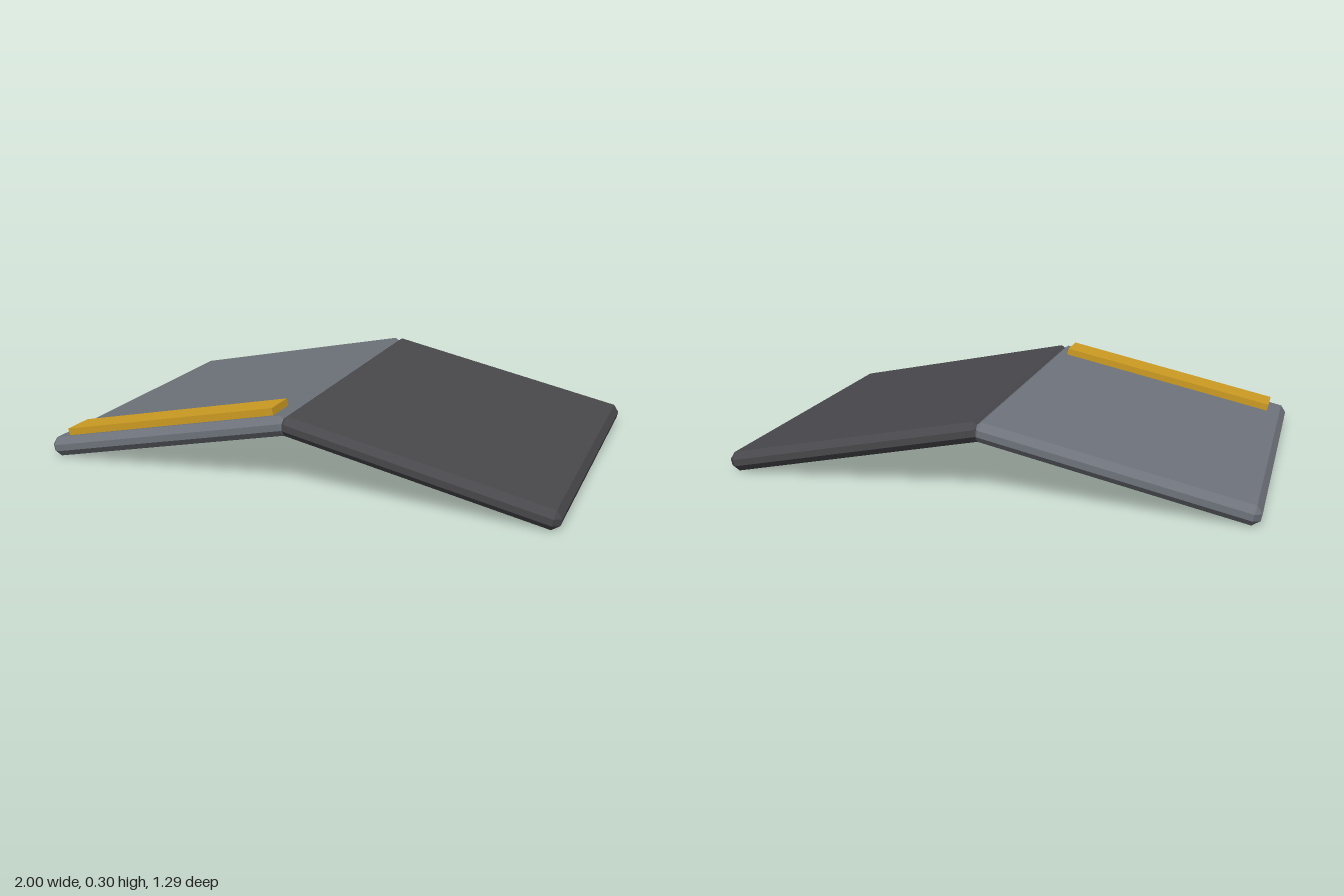
import * as THREE from 'three';
import { ConvexGeometry } from 'three/addons/geometries/ConvexGeometry.js';

const TILT = THREE.MathUtils.degToRad(12);
const HALF = { x: 0.518, y: 0.0375, z: 0.645 };
const BEVEL = 0.025;

// Box with every edge and corner chamfered
function chamferedBox({ x, y, z }, b) {
  const points = [];
  for (const sx of [-1, 1]) for (const sy of [-1, 1]) for (const sz of [-1, 1]) {
    points.push(
      new THREE.Vector3(sx * x, sy * (y - b), sz * (z - b)),
      new THREE.Vector3(sx * (x - b), sy * y, sz * (z - b)),
      new THREE.Vector3(sx * (x - b), sy * (y - b), sz * z)
    );
  }
  return new ConvexGeometry(points);
}

function makeMaterial(name, color) {
  const material = new THREE.MeshStandardMaterial({ color });
  material.name = name;
  return material;
}

export function createModel() {
  const model = new THREE.Group();
  model.name = 'foldedPanels';
  const grey = makeMaterial('slateGrey', 0x6e737b);
  const dark = makeMaterial('charcoal', 0x48474b);
  const gold = makeMaterial('gold', 0xcc9b22);

  // Two tilted panels meeting at a central ridge
  const panelGeometry = chamferedBox(HALF, BEVEL);
  const addPanel = (name, side, material) => {
    const group = new THREE.Group();
    group.name = name;
    group.position.set(side * 0.49, 0.14, 0);
    group.rotation.z = -side * TILT;
    const board = new THREE.Mesh(panelGeometry, material);
    board.name = name + 'Board';
    group.add(board);
    model.add(group);
    return group;
  };
  const rightPanel = addPanel('rightPanel', -1, grey);
  addPanel('leftPanel', 1, dark);

  // Raised strip along the front edge of the right panel
  const strip = new THREE.Mesh(new THREE.BoxGeometry(0.902, 0.027, 0.128), gold);
  strip.name = 'frontStrip';
  strip.position.set(0.011, HALF.y + 0.0135, 0.544);
  rightPanel.add(strip);

  return model;
}
